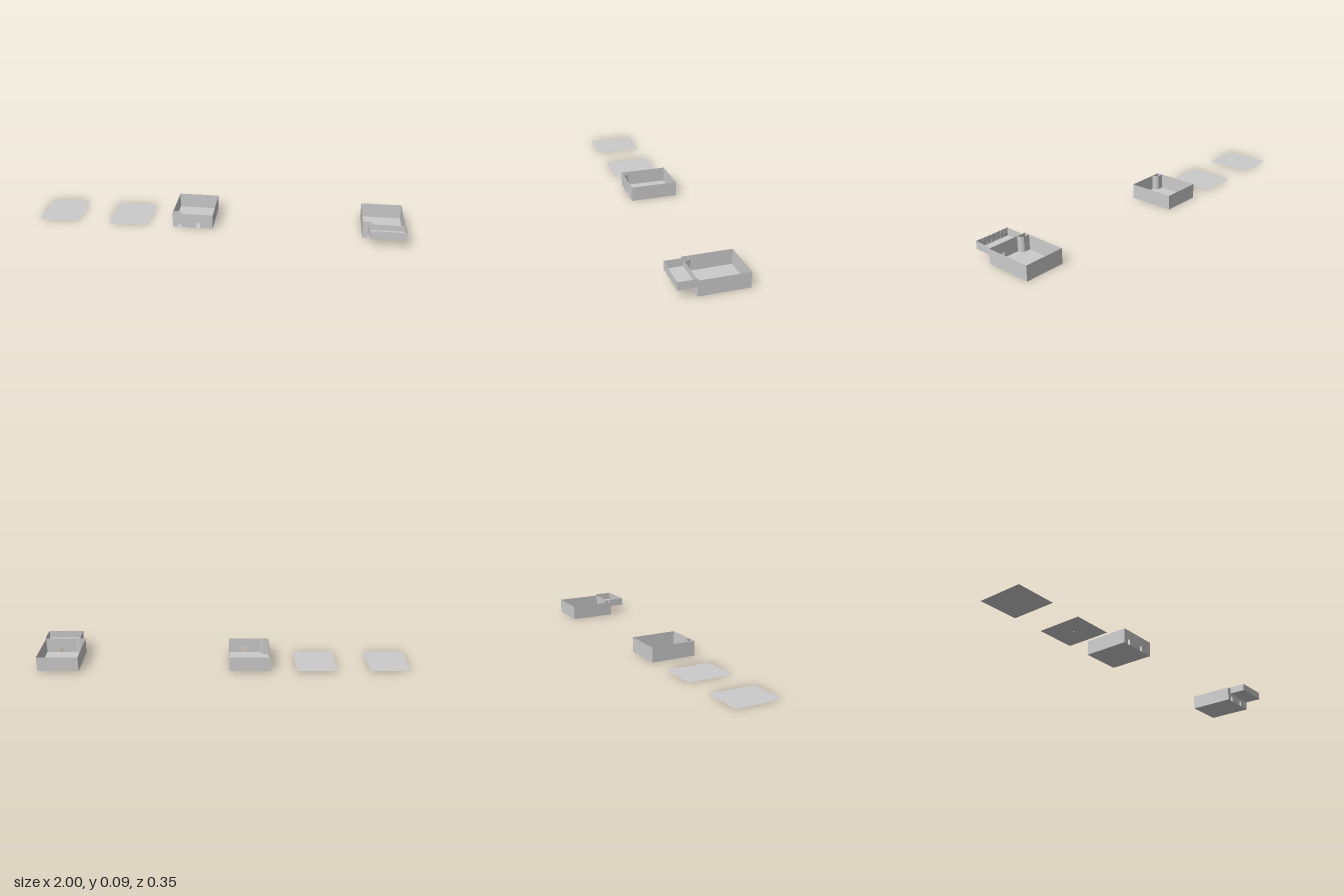
import * as THREE from 'three';

const W = 0.22, D = 0.255, H = 0.081;   // room width, depth, height
const BACK = -0.175, FRONT = 0.08;
const material = new THREE.MeshStandardMaterial({ color: 0xcccccc, flatShading: true, side: THREE.DoubleSide });

function add(parent, name, geometry, x = 0, y = 0, z = 0) {
  const mesh = new THREE.Mesh(geometry, material);
  mesh.name = name;
  mesh.position.set(x, y, z);
  parent.add(mesh);
  return mesh;
}

function rectangle(w, h) {
  return new THREE.Shape([[0, 0], [w, 0], [w, h], [0, h]].map(p => new THREE.Vector2(...p)));
}

// Upright sheet following a plan outline of [x, z] points
function sheetWall(points, bottom, top) {
  const pos = [], index = [];
  points.forEach(([x, z], i) => {
    pos.push(x, bottom, z, x, top, z);
    if (i) index.push(2 * i - 2, 2 * i, 2 * i + 1, 2 * i - 2, 2 * i + 1, 2 * i - 1);
  });
  const g = new THREE.BufferGeometry();
  g.setAttribute('position', new THREE.Float32BufferAttribute(pos, 3));
  g.setIndex(index);
  const flat = g.toNonIndexed();
  flat.computeVertexNormals();
  return flat;
}

// Flat sheet facing up, with an optional round hole
function plate(w, d, hole) {
  const shape = rectangle(w, d);
  if (hole) {
    const path = new THREE.Path();
    path.absarc(w / 2, d / 2, hole, 0, Math.PI * 2, true);
    shape.holes.push(path);
  }
  return new THREE.ShapeGeometry(shape, 8).rotateX(-Math.PI / 2);
}

// Front wall with two arched doorways notched into its lower edge
function frontWall() {
  const s = new THREE.Shape();
  s.moveTo(0, 0);
  for (const x of [0.038, 0.14]) {
    s.lineTo(x - 0.01, 0);
    s.lineTo(x - 0.01, 0.021);
    s.absarc(x, 0.021, 0.01, Math.PI, 0, true);
    s.lineTo(x + 0.01, 0);
  }
  s.lineTo(W, 0);
  s.lineTo(W, H);
  s.lineTo(0, H);
  return new THREE.ShapeGeometry(s, 6);
}

// Open-topped room with a closet screening the first doorway
function room(x) {
  const g = new THREE.Group();
  g.name = 'room';
  g.position.x = x;
  add(g, 'floor', plate(W, D), 0, 0, FRONT);
  add(g, 'outerWalls', sheetWall([[W, FRONT], [W, BACK], [0, BACK], [0, FRONT]], 0, H));
  add(g, 'frontWall', frontWall(), 0, 0, FRONT);
  add(g, 'closetWall', sheetWall([[0, 0.05], [0.033, 0.05], [0.042, 0.057], [0.05, FRONT]], 0, H));
  return g;
}

// Balcony tray hung on the front wall, with slats inside its parapet
function balcony() {
  const g = new THREE.Group();
  g.name = 'balcony';
  const x0 = 0.028, z1 = 0.175, y0 = 0.048, y1 = 0.09, w = W - x0;
  add(g, 'balconyFloor', plate(w, z1 - FRONT), x0, y0, z1);
  add(g, 'parapet', sheetWall([[x0, FRONT], [x0, z1], [W, z1], [W, FRONT]], y0, y1));
  const count = 7;
  for (let i = 0; i < count; i++) {
    add(g, 'parapetSlat', new THREE.BoxGeometry(0.01, y1 - y0, 0.002),
      x0 + w * (i + 0.5) / count, (y0 + y1) / 2, z1 - 0.001);
  }
  return g;
}

export function createModel() {
  const model = new THREE.Group();
  model.name = 'houseKit';

  // Loose flat panels
  add(model, 'plainPanel', plate(W, D), -1, 0, FRONT);
  add(model, 'piercedPanel', plate(W, D, 0.004), -0.605, 0, FRONT);

  // Lower and upper storeys
  model.add(room(-0.245));
  const upper = room(0.78);
  upper.add(balcony());
  model.add(upper);
  return model;
}
